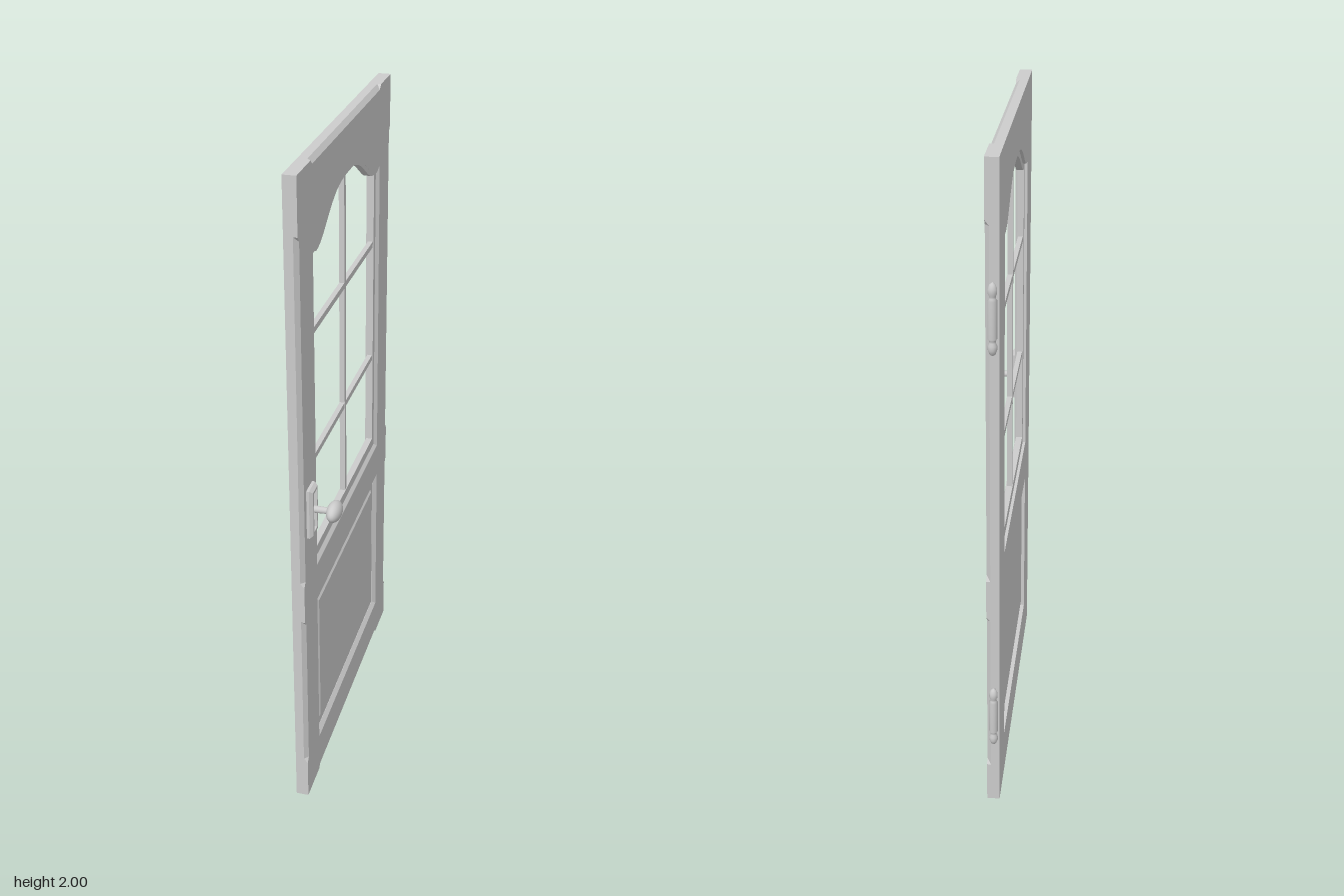
import * as THREE from 'three';
import { mergeGeometries } from 'three/addons/utils/BufferGeometryUtils.js';

const mat = new THREE.MeshStandardMaterial({ color: 0xcccccc, flatShading: true });
const smooth = new THREE.MeshStandardMaterial({ color: 0xcccccc });

function add(parent, name, geo, x = 0, y = 0, z = 0, material = mat) {
  const m = new THREE.Mesh(geo, material);
  m.name = name;
  m.position.set(x, y, z);
  parent.add(m);
  return m;
}

// Contour points are [x, y, dx, dy]; dx, dy shift the point on the front face (chamfer)
const mirrored = half => [...half, ...[...half].reverse().map(([x, y, dx = 0, dy = 0]) => [-x, y, -dx, dy])];

// Flat board with holes, its front edges chamfered where a point has a shift
function board(outline, holes, zBack, zFront, chamfer) {
  const loops = [outline, ...holes.map(h => [...h].reverse())];
  const levels = [[zBack, 0], [zFront - chamfer, 0], [zFront, 1]];
  const at = ([x, y, dx = 0, dy = 0], k) => new THREE.Vector2(x + dx * k, y + dy * k);
  const pos = [];
  for (const loop of loops) {
    loop.forEach((p, i) => {
      const q = loop[(i + 1) % loop.length];
      for (let l = 0; l < 2; l++) {
        const [z0, k0] = levels[l], [z1, k1] = levels[l + 1];
        const a = at(p, k0), b = at(q, k0), c = at(q, k1), d = at(p, k1);
        pos.push(a.x, a.y, z0, b.x, b.y, z0, c.x, c.y, z1);
        pos.push(a.x, a.y, z0, c.x, c.y, z1, d.x, d.y, z1);
      }
    });
  }
  const walls = new THREE.BufferGeometry();
  walls.setAttribute('position', new THREE.Float32BufferAttribute(pos, 3));
  walls.computeVertexNormals();
  const cap = k => {
    const s = new THREE.Shape(outline.map(p => at(p, k)));
    s.holes = holes.map(h => new THREE.Path(h.map(p => at(p, k))));
    const g = new THREE.ShapeGeometry(s).toNonIndexed();
    g.deleteAttribute('uv');
    return g;
  };
  // contours are symmetric, so a half turn gives the back face
  return mergeGeometries([walls, cap(1).translate(0, 0, zFront), cap(0).rotateY(Math.PI).translate(0, 0, zBack)]);
}

const rect = (w, y0, y1, c = 0) => mirrored([[w, y0, c, -c], [w, y1, c, c]]);

// S-curved arch over the window
const arch = x => 1.755 + 0.055 * (1 + Math.cos(Math.PI * Math.pow(Math.min(1, Math.abs(x) / 0.338), 1.5)));
function archPoints(drop, dy) {
  const pts = [];
  for (let i = 14; i >= 0; i--) {
    const x = 0.338 * (i + 0.5) / 14.5;
    pts.push([x, arch(x) - drop, 0, dy]);
  }
  return pts;
}

export function createModel() {
  const root = new THREE.Group();
  root.name = 'door';
  const door = new THREE.Group();
  door.name = 'doorLeaf';
  door.rotation.y = 2.02;
  door.position.set(-0.027, 0, 0.004);
  root.add(door);

  // Stiles and rails in one board, with stopped chamfers
  const W = 0.504, T = 0.019, c = 0.013;
  const outline = mirrored([
    [0.365, 0, 0, c], [0.38, 0], [W, 0], [W, 0.13], [W, 0.145, -c], [W, 0.645, -c], [W, 0.66],
    [W, 0.78], [W, 0.795, -c], [W, 1.825, -c], [W, 1.84], [W, 2], [0.38, 2], [0.365, 2, 0, -c],
  ]);
  const windowHole = mirrored([[0.36, 0.79, c, -c], [0.36, 1.755, c, 0], ...archPoints(0, -0.012)]);
  add(door, 'frame', board(outline, [windowHole, rect(0.36, 0.14, 0.652, c)], -T, T, 0.012));

  // Window sash and glazing bars
  const sashOuter = mirrored([[0.36, 0.79], [0.36, 1.755], ...archPoints(0, 0)]);
  const sashInner = mirrored([[0.338, 0.82], ...archPoints(0.02, 0)]);
  add(door, 'windowSash', board(sashOuter, [sashInner], -0.01, 0.01, 0.004));
  add(door, 'verticalGlazingBar', new THREE.BoxGeometry(0.017, 1.03, 0.016), 0, 1.333, 0);
  for (const y of [1.12, 1.51]) {
    add(door, 'horizontalGlazingBar', new THREE.BoxGeometry(0.68, 0.018, 0.015), 0, y, 0);
  }

  // Lower panel with a raised field on both sides
  add(door, 'lowerPanel', new THREE.BoxGeometry(0.72, 0.512, 0.012), 0, 0.396, 0);
  const field = rect(0.335, 0.17, 0.625, -0.008);
  add(door, 'panelField', board(field, [], 0, 0.011, 0.006));
  add(door, 'panelField', board(field, [], 0, 0.011, 0.006)).rotation.y = Math.PI;

  // Knob with its plate and stem
  const handle = new THREE.Group();
  handle.name = 'handle';
  handle.position.set(-0.44, 1.007, T);
  door.add(handle);
  const b = 0.007;
  const plate = mirrored([[0.03, -0.077, -b, b], [0.03, 0.077, -b, -b]]);
  add(handle, 'handlePlate', board(plate, [rect(0.015, -0.062, 0.062)], 0, 0.018, 0.01));
  add(handle, 'plateInset', new THREE.BoxGeometry(0.032, 0.126, 0.008), 0, 0, 0.004);
  const stem = new THREE.CylinderGeometry(0.009, 0.011, 0.07, 16).rotateX(Math.PI / 2);
  add(handle, 'knobStem', stem, 0.008, 0, 0.035, smooth);
  add(handle, 'knob', new THREE.SphereGeometry(1, 24, 16).scale(0.043, 0.028, 0.022), 0.01, 0, 0.0705, smooth);

  // Hinge barrels with finials at both ends
  const half = [[0.013, 0.052], [0.009, 0.058], [0.009, 0.064], [0.0125, 0.072], [0.0125, 0.084], [0.008, 0.096], [0, 0.102]];
  const profile = [...[...half].reverse().map(([r, y]) => [r, -y]), ...half].map(p => new THREE.Vector2(...p));
  for (const y of [0.318, 1.578]) {
    add(door, 'hinge', new THREE.LatheGeometry(profile, 16), 0.513, y, -0.002, smooth);
  }
  return root;
}
